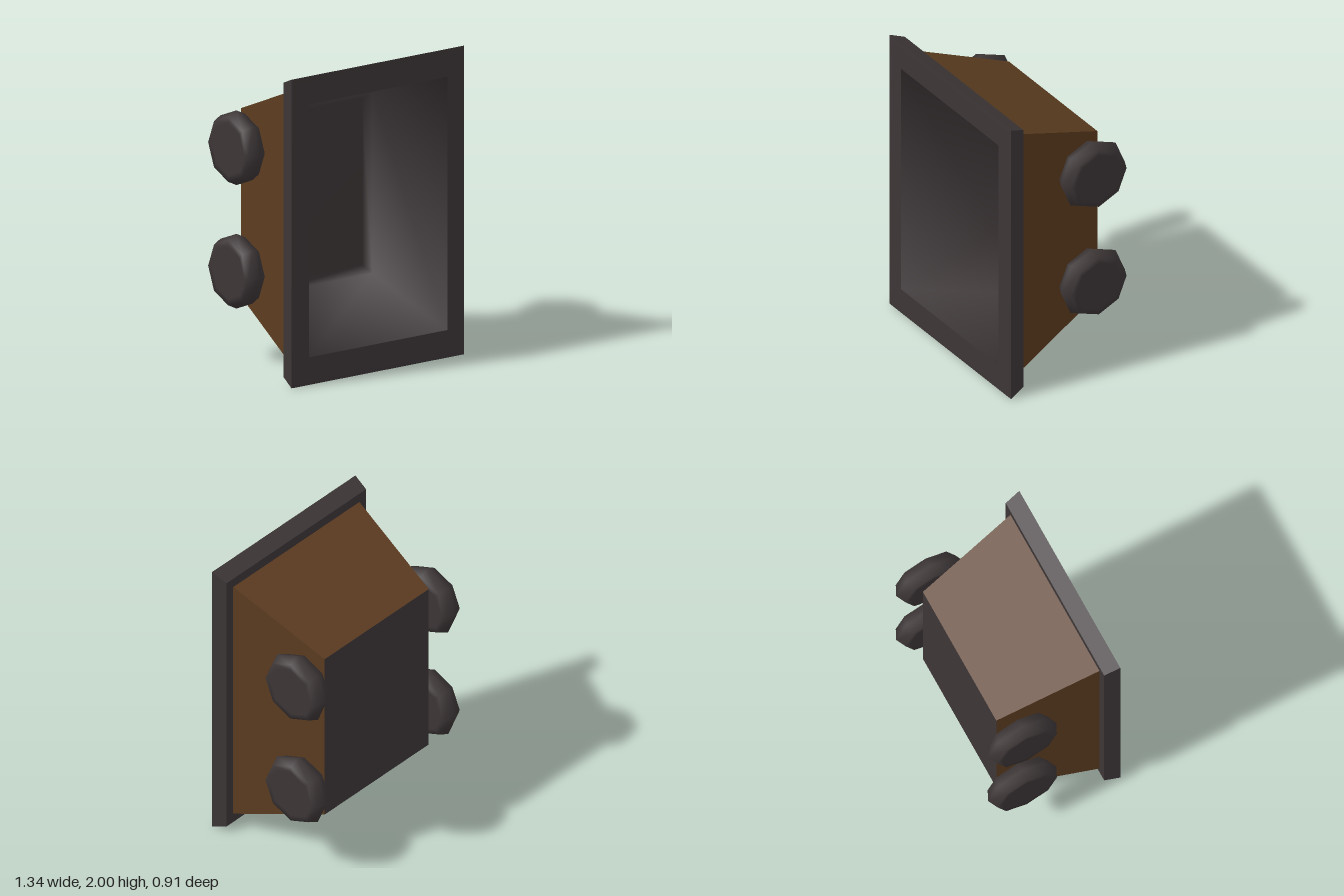
import * as THREE from 'three';

// Joins rectangular rings [halfWidth, halfHeight, z] into a surface.
// cap: 'end' closes the last ring facing +z, 'start' closes the first facing -z.
function loft(rings, { cap = null, smooth = false } = {}) {
  const pos = [], idx = [];
  for (const [w, h, z] of rings) pos.push(-w, 1 - h, z, w, 1 - h, z, w, 1 + h, z, -w, 1 + h, z);
  for (let r = 0; r < rings.length - 1; r++) {
    for (let i = 0; i < 4; i++) {
      const a = r * 4 + i, b = r * 4 + (i + 1) % 4;
      idx.push(a, b, b + 4, a, b + 4, a + 4);
    }
  }
  const e = (rings.length - 1) * 4;
  if (cap === 'end') idx.push(e, e + 1, e + 2, e, e + 2, e + 3);
  if (cap === 'start') idx.push(0, 2, 1, 0, 3, 2);
  let geo = new THREE.BufferGeometry();
  geo.setAttribute('position', new THREE.Float32BufferAttribute(pos, 3));
  geo.setIndex(idx);
  if (!smooth) geo = geo.toNonIndexed();
  geo.computeVertexNormals();
  return geo;
}

export function createModel() {
  const model = new THREE.Group();
  model.name = 'cart';
  const wood = new THREE.MeshStandardMaterial({ color: 0x5c3c20 });
  wood.name = 'brown wood';
  const iron = new THREE.MeshStandardMaterial({ color: 0x3d3637 });
  iron.name = 'dark iron';

  const add = (name, geo, mat) => {
    const mesh = new THREE.Mesh(geo, mat);
    mesh.name = name;
    model.add(mesh);
    return mesh;
  };

  // Tapered wooden walls and the iron plate closing the narrow end
  add('outerWalls', loft([[0.485, 0.61, -0.33], [0.588, 0.89, 0.345]]), wood);
  const plate = new THREE.PlaneGeometry(0.97, 1.22).rotateY(Math.PI).translate(0, 1, -0.33);
  add('basePlate', plate, iron);

  // Flared rim, with its outer band and front edge
  add('rimBand', loft([[0.58, 0.88, 0.345], [0.65, 0.955, 0.345], [0.667, 1, 0.45]]), iron);
  add('rimFace', loft([
    [0.667, 1, 0.45], [0.64, 0.97, 0.455], [0.535, 0.82, 0.455],
  ], { smooth: true }), iron);

  // Hollow inside, softly shaded down to the floor
  add('innerWalls', loft([
    [0.535, 0.82, 0.455], [0.45, 0.59, -0.22], [0.41, 0.54, -0.27],
  ], { cap: 'end', smooth: true }), iron);

  // Eight-sided wheels, thickest at the middle of the tread
  const profile = [[0, -0.065], [0.17, -0.065], [0.21, -0.065], [0.242, 0],
    [0.21, 0.065], [0.17, 0.065], [0, 0.065]].map(([r, y]) => new THREE.Vector2(r, y));
  const wheelGeo = new THREE.LatheGeometry(profile, 8).rotateZ(Math.PI / 2);
  for (const [side, x] of [['left', 0.607], ['right', -0.607]]) {
    for (const [level, y] of [['Upper', 1.4], ['Lower', 0.6]]) {
      add(`${side}${level}Wheel`, wheelGeo, iron).position.set(x, y, -0.212);
    }
  }
  return model;
}
